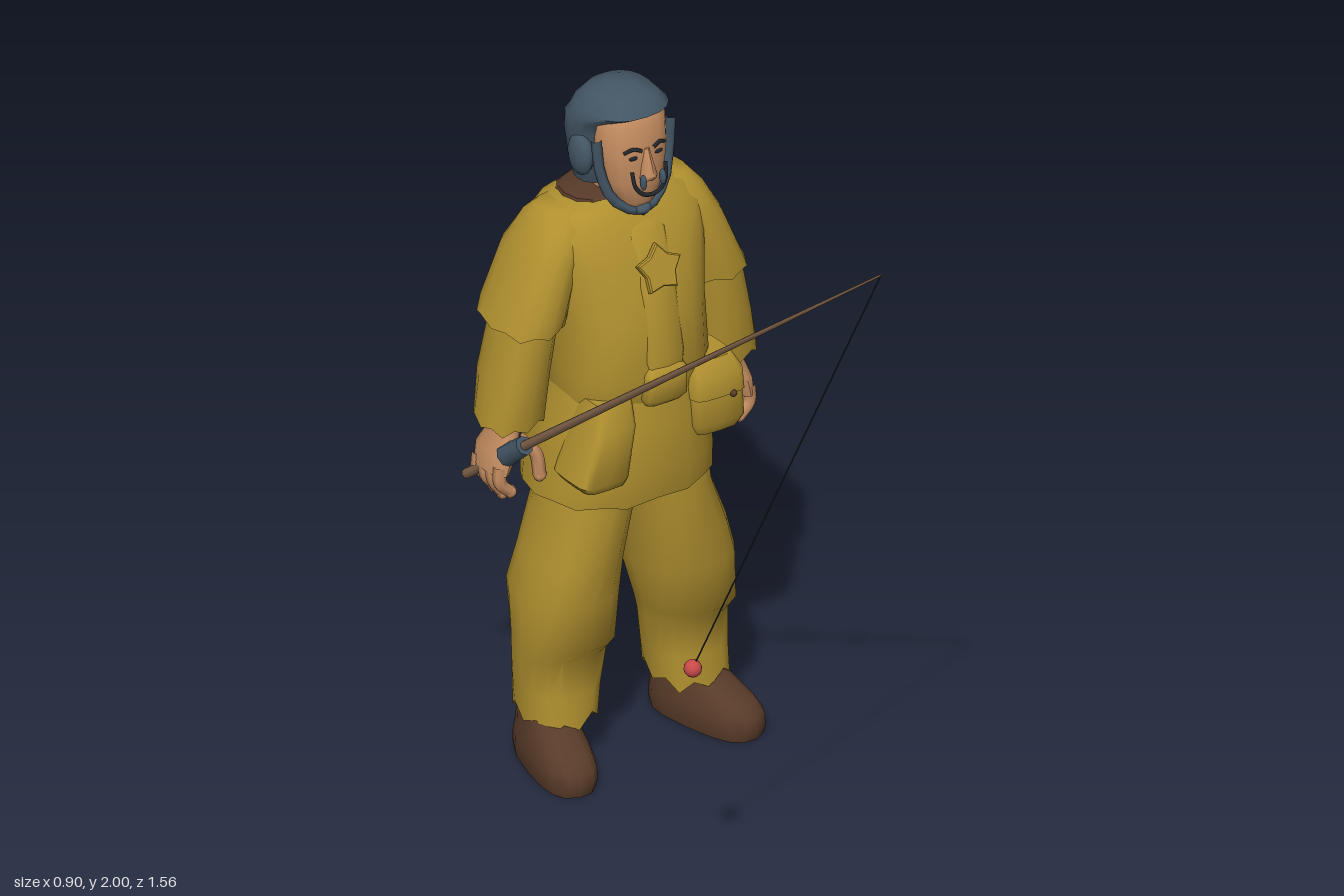
import * as THREE from 'three';
import { toCreasedNormals } from 'three/addons/utils/BufferGeometryUtils.js';

const mat = (name, color) => {
  const m = new THREE.MeshStandardMaterial({ color });
  m.name = name;
  return m;
};

export function createModel() {
  const cloth = mat('mustard cloth', 0xb0902f);
  const leather = mat('brown leather', 0x583b29);
  const skin = mat('skin', 0xc68e62);
  const slate = mat('slate hair', 0x435564);
  const wood = mat('rod wood', 0x7d6048);
  const dark = mat('dark line', 0x23272c);
  const red = mat('red float', 0xc84a4a);

  const model = new THREE.Group();
  const add = (name, geometry, material, parent = model) => {
    const mesh = new THREE.Mesh(geometry, material);
    mesh.name = name;
    parent.add(mesh);
    return mesh;
  };

  // Closed loft through level rings given as [y, xMin, xMax, zBack, zFront], bottom to top
  function loft(rings, { sides = 16, power = 2.4, fold = 0, jag = 0, crease = 0.9 } = {}) {
    const pos = [], idx = [];
    const bend = v => Math.sign(v) * Math.abs(v) ** (2 / power);
    rings.forEach(([y, x0, x1, zb, zf], i) => {
      for (let j = 0; j < sides; j++) {
        const a = (j / sides) * Math.PI * 2;
        const s = 1 + fold * Math.sin(3 * a + i * 1.7);
        const drop = i === 0 ? jag * (j % 2 ? 1 : -1) * (0.6 + 0.4 * Math.sin(j * 2.3)) : 0;
        pos.push((x0 + x1) / 2 + (x1 - x0) / 2 * bend(Math.cos(a)) * s, y + drop,
          (zb + zf) / 2 + (zf - zb) / 2 * bend(Math.sin(a)) * s);
      }
    });
    const last = (rings.length - 1) * sides, c = rings.length * sides;
    for (const r of [rings[0], rings[rings.length - 1]]) pos.push((r[1] + r[2]) / 2, r[0], (r[3] + r[4]) / 2);
    for (let j = 0; j < sides; j++) {
      const k = (j + 1) % sides;
      for (let i = 0; i < last; i += sides) {
        idx.push(i + j, i + sides + j, i + k, i + k, i + sides + j, i + sides + k);
      }
      idx.push(c, j, k, c + 1, last + k, last + j);
    }
    const g = new THREE.BufferGeometry();
    g.setAttribute('position', new THREE.Float32BufferAttribute(pos, 3));
    g.setIndex(idx);
    return toCreasedNormals(g, crease);
  }
  // Mirrors ring bounds across the plane x = mid
  const flip = (rings, mid) => rings.map(([y, a, b, zb, zf]) => [y, 2 * mid - b, 2 * mid - a, zb, zf]);
  const tube = (pts, r, sides = 6) => new THREE.TubeGeometry(
    new THREE.CatmullRomCurve3(pts.map(p => new THREE.Vector3(...p))), 14, r, sides);
  // Tapered bar from one point to another
  function bar(name, from, to, r0, r1, material) {
    const a = new THREE.Vector3(...from), b = new THREE.Vector3(...to), d = b.clone().sub(a);
    const m = add(name, new THREE.CylinderGeometry(r1, r0, d.length(), 8), material);
    m.position.copy(a).addScaledVector(d, 0.5);
    m.quaternion.setFromUnitVectors(new THREE.Vector3(0, 1, 0), d.normalize());
    return m;
  }
  function ball(name, p, s, material) {
    const m = add(name, new THREE.SphereGeometry(1, 14, 10), material);
    m.position.set(...p);
    m.scale.set(...s);
    return m;
  }

  // Trousers with ragged hems
  add('rightTrouserLeg', loft([
    [.14, -.27, -.075, -.69, -.46], [.22, -.275, -.055, -.685, -.47], [.32, -.28, -.03, -.68, -.475],
    [.36, -.28, -.03, -.70, -.435], [.5, -.285, -.02, -.72, -.42], [.6, -.26, -.015, -.70, -.41],
    [.75, -.225, .01, -.69, -.405], [.9, -.2, .04, -.69, -.41]], { fold: .015, jag: .025 }), cloth);
  add('leftTrouserLeg', loft([
    [.14, .13, .335, -.69, -.46], [.22, .12, .34, -.685, -.47], [.32, .11, .345, -.68, -.475],
    [.36, .10, .345, -.70, -.435], [.5, .06, .34, -.72, -.42], [.6, .05, .31, -.70, -.41],
    [.75, .02, .25, -.69, -.405], [.9, 0, .23, -.69, -.41]], { fold: .015, jag: .025 }), cloth);

  // Shoes, toes turned out
  for (const [name, x, turn] of [['rightShoe', -.21, -.22], ['leftShoe', .26, .22]]) {
    const shoe = add(name, loft([
      [0, -.075, .075, -.175, .175], [.025, -.08, .08, -.178, .182], [.06, -.08, .08, -.175, .178],
      [.09, -.073, .073, -.17, .145], [.125, -.065, .065, -.165, .07], [.15, -.062, .062, -.16, .03],
      [.22, -.055, .055, -.15, .02]], { power: 2.7 }), leather);
    shoe.position.set(x, 0, -.52);
    shoe.rotation.y = turn;
  }

  // Tunic skirt, blouse and front placket
  add('tunicSkirt', loft([
    [.79, -.24, .26, -.77, -.365], [.87, -.235, .26, -.77, -.355], [1.0, -.21, .24, -.73, -.365],
    [1.12, -.17, .21, -.69, -.38]], { sides: 20, fold: .01, jag: .008 }), cloth);
  add('blouse', loft([
    [1.08, -.18, .22, -.70, -.375], [1.15, -.19, .23, -.715, -.36], [1.3, -.185, .23, -.73, -.375],
    [1.45, -.21, .25, -.755, -.41], [1.54, -.22, .26, -.75, -.45], [1.59, -.18, .22, -.72, -.485],
    [1.615, -.09, .15, -.69, -.51]], { sides: 22, power: 2.6, fold: .01, jag: .006 }), cloth);
  add('placket', loft([
    [1.09, -.03, .085, -.5, -.36], [1.2, -.035, .09, -.5, -.35], [1.4, -.03, .085, -.5, -.388],
    [1.53, -.03, .085, -.52, -.44], [1.57, -.02, .075, -.54, -.475]], { power: 5, sides: 12 }), cloth);

  // Sleeves: wide upper sleeve over a narrower lower one
  const upper = [
    [1.3, -.355, -.17, -.73, -.465], [1.34, -.34, -.16, -.735, -.465], [1.48, -.28, -.12, -.725, -.475],
    [1.56, -.235, -.08, -.695, -.50], [1.6, -.2, -.07, -.66, -.54]];
  const lower = [
    [1.02, -.385, -.215, -.69, -.51], [1.15, -.365, -.2, -.70, -.50], [1.34, -.325, -.17, -.69, -.50]];
  add('rightUpperSleeve', loft(upper, { jag: .012 }), cloth);
  add('leftUpperSleeve', loft(flip(upper, .02), { jag: .012 }), cloth);
  add('rightLowerSleeve', loft(lower, { jag: .015, fold: .02 }), cloth);
  add('leftLowerSleeve', loft(flip(lower, .03), { jag: .015, fold: .02 }), cloth);

  // Hands: palm, four curled fingers and a thumb
  for (const [side, s, wx] of [['right', -1, -.31], ['left', 1, .37]]) {
    const hand = new THREE.Group();
    hand.name = side + 'Hand';
    model.add(hand);
    const px = v => wx + s * v;
    const ring = (y, a, b, zb, zf) => [y, Math.min(px(a), px(b)), Math.max(px(a), px(b)), zb, zf];
    add('palm', loft([
      ring(.885, .015, .065, -.67, -.535), ring(.94, -.01, .06, -.675, -.53),
      ring(1.0, -.03, .035, -.645, -.55), ring(1.06, -.035, .03, -.64, -.55)], { sides: 12 }), skin, hand);
    for (let i = 0; i < 4; i++) {
      const z = -.555 - i * .033, y = [.82, .802, .806, .825][i];
      add('finger', tube([[px(.045), .91, z], [px(.045), .86, z], [px(.015), y + .008, z]], .018), skin, hand);
      const tip = add('fingertip', new THREE.SphereGeometry(.018, 8, 6), skin, hand);
      tip.position.set(px(.015), y + .008, z);
    }
    add('thumb', tube([[px(-.01), .98, -.56], [px(-.05), .93, -.535], [px(-.06), .865, -.53]], .018), skin, hand);
    add('thumbTip', new THREE.SphereGeometry(.018, 8, 6), skin, hand).position.set(px(-.06), .865, -.53);
  }

  // Belt pouches, buckle pocket and chest patch
  const boxy = { power: 5, sides: 16 };
  add('leftPouch', loft([[.93, .13, .265, -.52, -.365], [.96, .115, .28, -.53, -.35],
    [1.09, .115, .27, -.51, -.35], [1.13, .13, .25, -.5, -.375]], boxy), cloth);
  add('leftPouchFlap', loft([[1.04, .112, .276, -.51, -.344], [1.1, .11, .27, -.51, -.344],
    [1.14, .125, .25, -.5, -.375]], boxy), cloth);
  add('pouchToggle', new THREE.SphereGeometry(.01, 8, 6), leather).position.set(.225, 1.04, -.345);
  add('rightPouch', loft([[.865, -.215, -.09, -.5, -.36], [.89, -.235, -.085, -.51, -.345],
    [1.03, -.19, -.06, -.5, -.35], [1.1, -.165, -.06, -.49, -.375]], boxy), cloth);
  add('backPouch', loft([[.93, .05, .22, -.765, -.6], [.96, .04, .23, -.775, -.6],
    [1.07, .05, .22, -.755, -.6], [1.1, .06, .21, -.73, -.6]], boxy), cloth);
  add('beltPocket', loft([[1.07, -.03, .08, -.45, -.355], [1.09, -.04, .09, -.45, -.338],
    [1.16, -.04, .09, -.45, -.338], [1.18, -.03, .08, -.45, -.355]], boxy), cloth);
  const patch = new THREE.Shape();
  for (let i = 0; i < 10; i++) {
    const a = i * Math.PI / 5 + .3, r = i % 2 ? .042 : .064;
    patch[i ? 'lineTo' : 'moveTo'](Math.cos(a) * r, Math.sin(a) * r);
  }
  const knot = add('chestPatch', new THREE.ExtrudeGeometry(patch, { depth: .012, bevelSize: .004, bevelThickness: .004, bevelSegments: 1 }), cloth);
  knot.position.set(.03, 1.44, -.402);
  knot.rotation.x = -.33;

  // Collar, neck and face
  add('collar', loft([[1.53, -.08, .14, -.762, -.50], [1.585, -.13, .19, -.738, -.495],
    [1.615, -.12, .18, -.705, -.51], [1.625, -.05, .11, -.66, -.53]]), leather);
  add('neck', loft([[1.55, -.045, .105, -.65, -.505], [1.7, -.04, .1, -.65, -.51]]), skin);
  add('face', loft([[1.58, .0, .06, -.54, -.475], [1.61, -.03, .09, -.58, -.462], [1.67, -.055, .115, -.6, -.452],
    [1.75, -.068, .128, -.62, -.452], [1.83, -.066, .126, -.62, -.458], [1.88, -.045, .105, -.6, -.48]],
    { crease: 1.4 }), skin);
  add('nose', loft([[1.685, .008, .052, -.48, -.428], [1.70, .01, .05, -.48, -.418],
    [1.77, .022, .038, -.48, -.447]], { sides: 8 }), skin);

  // Hair with front fringe, rounded side pieces and jaw beard
  add('hair', loft([[1.635, -.07, .13, -.685, -.56], [1.7, -.088, .148, -.695, -.535], [1.79, -.1, .16, -.70, -.53],
    [1.825, -.1, .16, -.70, -.515], [1.86, -.085, .145, -.69, -.452], [1.895, -.052, .112, -.66, -.48],
    [1.915, .0, .06, -.61, -.54]], { sides: 20, crease: 1.2 }), slate);
  add('beard', tube([[-.085, 1.80, -.515], [-.075, 1.7, -.51], [-.045, 1.62, -.492], [.03, 1.578, -.475],
    [.105, 1.62, -.492], [.135, 1.7, -.51], [.145, 1.80, -.515]], .014), slate);
  ball('chinBeard', [.03, 1.585, -.485], [.03, .018, .032], slate);
  for (const s of [-1, 1]) {
    const x = v => .03 + s * v;
    ball('hairSidePiece', [x(.115), 1.73, -.585], [.027, .06, .046], slate);
    add('moustache', tube([[x(.052), 1.72, -.445], [x(.046), 1.675, -.436], [x(.025), 1.652, -.43],
      [x(0), 1.645, -.43]], .006), dark);
    ball('moustacheTuft', [x(.03), 1.69, -.425], [.008, .022, .012], slate);
    add('eyebrow', tube([[x(.018), 1.768, -.45], [x(.04), 1.776, -.455], [x(.062), 1.765, -.468]], .005), dark);
    ball('eye', [x(.038), 1.748, -.458], [.014, .006, .005], dark);
  }

  // Fishing rod, grip, line and float
  const tip = [-.085, 2.0, .78];
  bar('rodButt', [-.372, .835, -.685], [-.33, .985, -.497], .014, .014, wood);
  bar('rod', [-.33, .985, -.497], tip, .013, .003, wood);
  bar('rodGrip', [-.34, .94, -.55], [-.328, .995, -.485], .03, .026, slate);
  bar('fishingLine', tip, [-.43, .795, .43], .002, .002, dark);
  ball('float', [-.43, .795, .43], [.024, .024, .024], red);

  return model;
}
